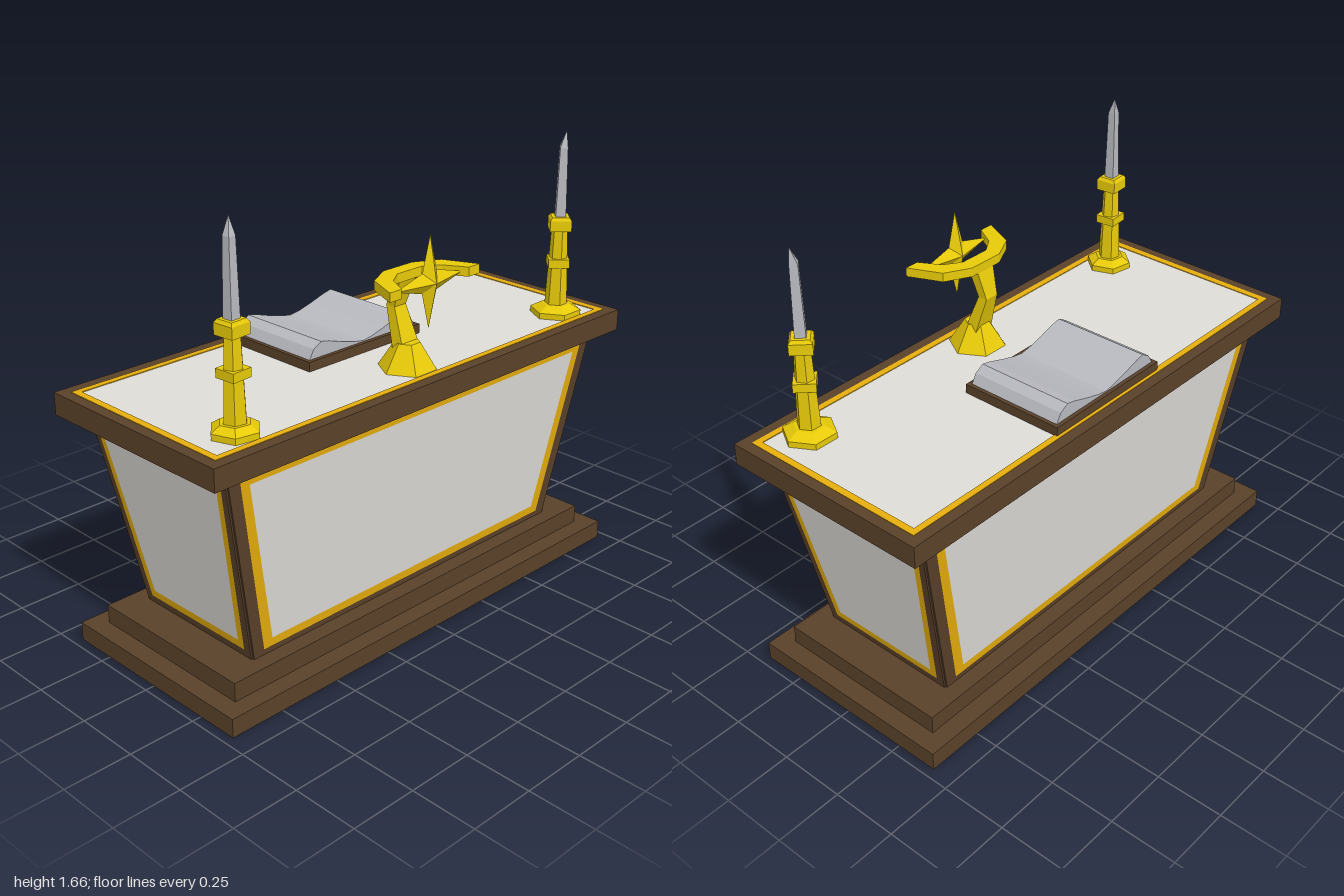
import * as THREE from 'three';

const mat = (name, color) => {
  const m = new THREE.MeshStandardMaterial({ color, flatShading: true });
  m.name = name;
  return m;
};

export function createModel() {
  const wood = mat('dark wood', 0x5a4129);
  const marble = mat('pale marble', 0xdfdcd7);
  const trim = mat('amber trim', 0xe6ae0c);
  const gold = mat('bright gold', 0xf0d20a);
  const paper = mat('grey paper and wax', 0xb8b9bf);
  const root = new THREE.Group();

  const add = (parent, name, geo, material, x = 0, y = 0, z = 0) => {
    const m = new THREE.Mesh(geo, material);
    m.name = name;
    m.position.set(x, y, z);
    parent.add(m);
    return m;
  };
  const box = (name, w, y0, y1, d, material, x = 0, z = 0) =>
    add(root, name, new THREE.BoxGeometry(w, y1 - y0, d), material, x, (y0 + y1) / 2, z);
  const poly = (pts) => new THREE.Shape(pts.map(([x, y]) => new THREE.Vector2(x, y)));
  const extrude = (shape, depth) => new THREE.ExtrudeGeometry(shape, { depth, bevelEnabled: false });

  // Rectangular ring lying flat, from y0 to y1
  const ring = (name, hx, hz, tx, tz, y0, y1, material) => {
    const rect = (a, b) => [[-a, -b], [a, -b], [a, b], [-a, b]];
    const s = poly(rect(hx, hz));
    s.holes.push(poly(rect(hx - tx, hz - tz)));
    add(root, name, extrude(s, y1 - y0).rotateX(-Math.PI / 2), material, 0, y0, 0);
  };

  // Stepped plinth, both steps hollow underneath
  ring('plinthRim', 0.965, 0.413, 0.012, 0.012, 0, 0.07, wood);
  ring('plinthTread', 0.965, 0.413, 0.08, 0.08, 0.064, 0.07, wood);
  ring('upperStepRim', 0.895, 0.345, 0.012, 0.012, 0.066, 0.14, wood);
  box('upperStepTread', 1.79, 0.134, 0.14, 0.69, wood);
  box('bodyUnderside', 1.53, 0.131, 0.135, 0.57, marble);

  // Body flaring outwards towards the top
  const B = { y0: 0.14, y1: 0.89, x0: 0.757, x1: 0.905, z0: 0.277, z1: 0.349 };
  const bodyH = B.y1 - B.y0;
  const body = new THREE.BoxGeometry(2, bodyH, 2);
  const bp = body.attributes.position;
  for (let i = 0; i < bp.count; i++) {
    const top = bp.getY(i) > 0;
    bp.setX(i, bp.getX(i) * (top ? B.x1 : B.x0));
    bp.setZ(i, bp.getZ(i) * (top ? B.z1 : B.z0));
  }
  body.computeVertexNormals();
  add(root, 'body', body, wood, 0, (B.y0 + B.y1) / 2, 0);

  // Wooden frame, amber trim and marble panel on each sloping face
  const panel = (name, angle, dist, flare, edge, outer, inner) => {
    const g = new THREE.Group();
    g.name = name;
    const tilt = Math.atan(flare / bodyH);
    const outline = ([b, t, y0, y1]) => {
      const k = 1 / Math.cos(tilt), a = (y0 - B.y0) * k, c = (y1 - B.y0) * k;
      return poly([[-b, a], [b, a], [t, c], [-t, c]]);
    };
    const frame = (out, hole) => {
      const s = outline(out);
      s.holes.push(outline(hole));
      return s;
    };
    add(g, name + 'Frame', extrude(frame(edge, outer), 0.007), wood);
    add(g, name + 'Trim', extrude(frame(outer, inner), 0.007), trim);
    add(g, name + 'Marble', extrude(outline(inner), 0.007), marble);
    g.rotation.order = 'YXZ';
    g.rotation.set(tilt, angle, 0);
    g.position.set(Math.sin(angle) * dist, B.y0, Math.cos(angle) * dist);
    root.add(g);
  };
  for (const [name, a] of [['front', 0], ['back', Math.PI]])
    panel(name + 'Panel', a, B.z0, B.z1 - B.z0, [B.x0, B.x1, B.y0, B.y1],
      [0.715, 0.852, 0.163, 0.858], [0.68, 0.81, 0.195, 0.828]);
  for (const [name, a] of [['left', Math.PI / 2], ['right', -Math.PI / 2]])
    panel(name + 'Panel', a, B.x0, B.x1 - B.x0, [B.z0, B.z1, B.y0, B.y1],
      [0.248, 0.32, 0.17, 0.85], [0.224, 0.294, 0.2, 0.822]);

  // Table top, hollow underneath: wooden border, marble slab, amber inlay
  ring('topBorder', 1, 0.413, 0.04, 0.043, 0.957, 0.966, wood);
  ring('topRim', 1, 0.413, 0.018, 0.018, 0.885, 0.96, wood);
  box('topUnderside', 1.97, 0.952, 0.957, 0.796, marble);
  box('topSlab', 1.92, 0.957, 0.965, 0.74, marble);
  ring('topInlay', 0.96, 0.372, 0.026, 0.024, 0.962, 0.968, trim);

  // Open book
  box('bookCover', 0.55, 0.965, 1.0, 0.41, wood, 0, -0.155);
  const half = [[0.26, 1.0], [0.24, 1.035], [0.205, 1.055], [0.17, 1.048], [0.1, 1.026], [0.04, 1.01]];
  const pages = poly([...half, [0, 1.004], ...half.map(([x, y]) => [-x, y]).reverse()]);
  add(root, 'bookPages', extrude(pages, 0.38), paper, 0, 0, -0.345);

  // Candlesticks: hexagonal foot, square collars, tapering candle
  const candlestick = (name, x, turn, footR) => {
    const g = new THREE.Group();
    g.name = name;
    g.position.set(x, 0, 0.265);
    g.rotation.y = turn;
    const tube = (part, r1, r0, y0, y1, sides) =>
      add(g, part, new THREE.CylinderGeometry(r1, r0, y1 - y0, sides), gold, 0, (y0 + y1) / 2, 0);
    tube('foot', footR, footR, 0.965, 0.987, 6);
    tube('footSlope', 0.055, footR, 0.987, 1.008, 6);
    tube('stem', 0.03, 0.042, 1.005, 1.3, 6);
    tube('collar', 0.055, 0.055, 1.155, 1.187, 4);
    tube('cup', 0.056, 0.056, 1.295, 1.335, 4);
    tube('cupRim', 0.045, 0.056, 1.335, 1.347, 4);
    const wax = new THREE.LatheGeometry(
      [[0.027, 1.34], [0.02, 1.605], [0, 1.665]].map(([r, y]) => new THREE.Vector2(r, y)), 4);
    const p = wax.attributes.position;
    for (let i = 0; i < p.count; i++) if (p.getY(i) > 1.65) p.setZ(i, 0.013);
    add(g, 'candle', wax, paper);
    root.add(g);
  };
  candlestick('leftCandlestick', 0.8, Math.PI / 2, 0.095);
  candlestick('rightCandlestick', -0.79, Math.PI / 2 + 0.87, 0.087);

  // Central ornament: foot, bent stem, curved arm, star
  const ornament = new THREE.Group();
  ornament.name = 'starOrnament';
  root.add(ornament);
  add(ornament, 'ornamentFoot', new THREE.CylinderGeometry(0.045, 0.105, 0.095, 6), gold, 0, 1.0125, 0.25)
    .rotation.y = Math.PI / 2;

  const stem = new THREE.CylinderGeometry(1, 1, 1, 4, 2).rotateY(Math.PI / 4);
  const rows = [[1.03, 0.245, 0.042, 0.026], [1.18, 0.194, 0.028, 0.019], [1.3, 0.23, 0.042, 0.022]];
  const sp = stem.attributes.position;
  for (let i = 0; i < sp.count; i++) {
    const [y, z, w, d] = rows[Math.round((sp.getY(i) + 0.5) * 2)];
    sp.setXYZ(i, sp.getX(i) * w * Math.SQRT2, y, z + sp.getZ(i) * d * Math.SQRT2);
  }
  stem.computeVertexNormals();
  add(ornament, 'ornamentStem', stem, gold);

  const outer = [[0.22, 0.375], [0.165, 0.25], [0.07, 0.2]];
  const inner = [[0.06, 0.255], [0.12, 0.295], [0.165, 0.375]];
  const flip = (pts) => pts.map(([x, z]) => [-x, z]).reverse();
  const arm = [...outer, ...flip(outer), ...flip(inner), ...inner].map(([x, z]) => [x, -z]);
  add(ornament, 'ornamentArm', extrude(poly(arm), 0.034).rotateX(-Math.PI / 2), gold, 0, 1.282, 0);

  const star = [];
  const tip = (i) => {
    const a = (i % 8) * Math.PI / 4, r = i % 2 ? 0.05 : 0.165;
    return [Math.cos(a) * r, Math.sin(a) * r, 0];
  };
  for (let i = 0; i < 8; i++) {
    star.push(0, 0, 0.034, ...tip(i), ...tip(i + 1));
    star.push(0, 0, -0.034, ...tip(i + 1), ...tip(i));
  }
  const starGeo = new THREE.BufferGeometry();
  starGeo.setAttribute('position', new THREE.Float32BufferAttribute(star, 3));
  starGeo.computeVertexNormals();
  add(ornament, 'star', starGeo, gold, 0, 1.296, 0.345);

  return root;
}
